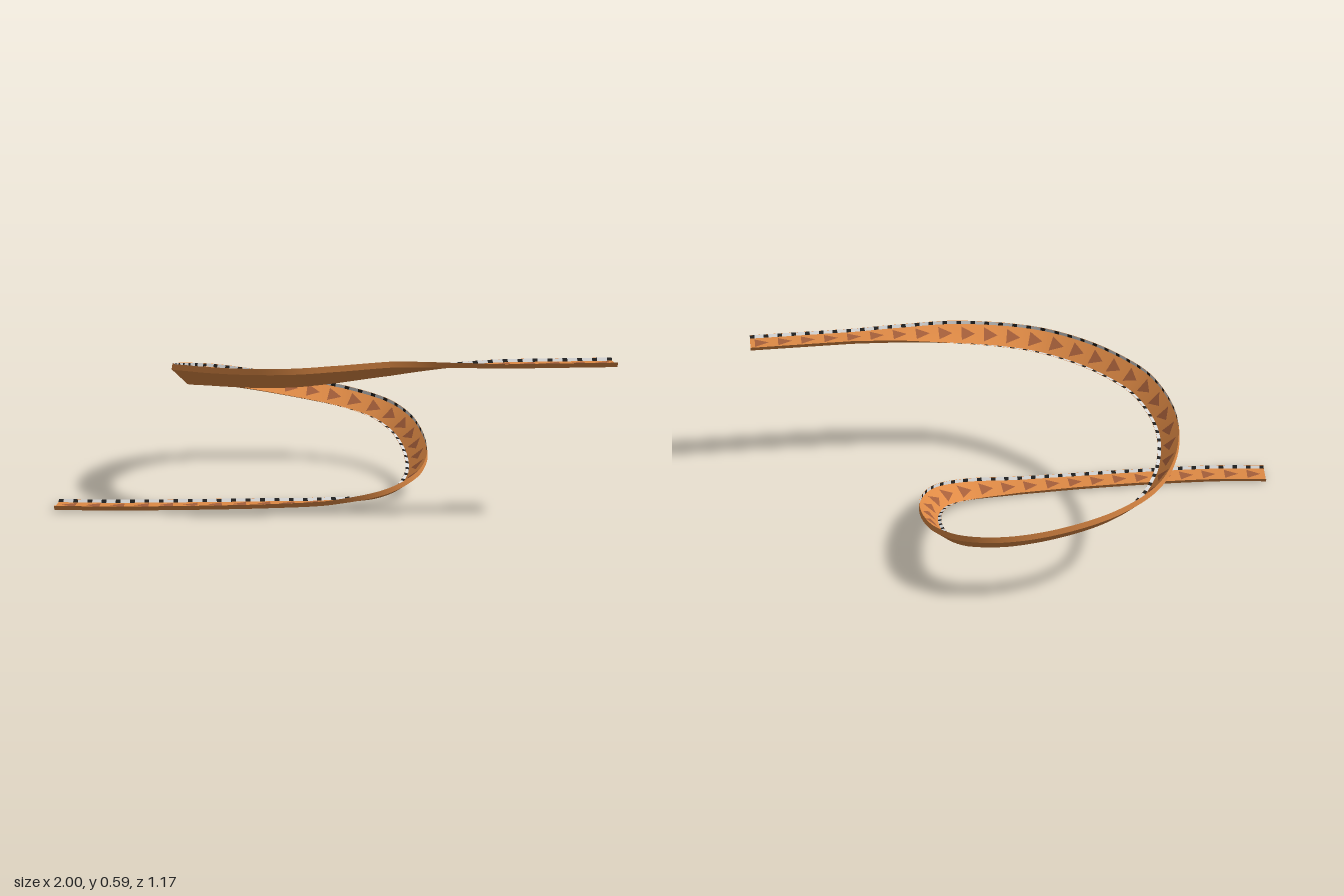
import * as THREE from 'three';
import { mergeGeometries } from 'three/addons/utils/BufferGeometryUtils.js';

const SEGMENTS = 280;
// Half widths of the inside floor, underside and rim; heights above the path
const FLOOR = 0.044, BASE = 0.041, RIM = 0.052;
const FLOOR_Y = 0.005, BASE_Y = -0.003, RIM_Y = 0.015;

// Path: x, y, z, bank angle in degrees
const PATH = [
  [-0.99, 0.008, 0.195, 0], [-0.8, 0.008, 0.222, 0], [-0.5, 0.008, 0.238, 0],
  [-0.25, 0.008, 0.242, 1], [0, 0.01, 0.238, 6], [0.2, 0.026, 0.212, 22],
  [0.31, 0.054, 0.14, 34], [0.365, 0.084, 0.03, 38], [0.383, 0.112, -0.08, 40],
  [0.378, 0.148, -0.22, 41], [0.35, 0.182, -0.34, 42], [0.28, 0.217, -0.45, 42],
  [0.14, 0.252, -0.53, 42], [-0.05, 0.29, -0.557, 42], [-0.24, 0.33, -0.533, 43],
  [-0.385, 0.365, -0.455, 44], [-0.475, 0.395, -0.32, 44], [-0.523, 0.427, -0.14, 44],
  [-0.52, 0.449, 0, 44], [-0.475, 0.474, 0.16, 44], [-0.4, 0.488, 0.275, 43],
  [-0.29, 0.502, 0.39, 43], [-0.14, 0.518, 0.485, 42], [0, 0.534, 0.52, 39],
  [0.2, 0.555, 0.532, 31], [0.4, 0.565, 0.53, 11], [0.6, 0.567, 0.53, 0], [1, 0.567, 0.53, 0],
];

// Banked frames at even distances along the path
function makeFrames() {
  const curve = new THREE.CatmullRomCurve3(PATH.map(p => new THREE.Vector3(p[0], p[1], p[2])));
  curve.arcLengthDivisions = 1000;
  const up = new THREE.Vector3(0, 1, 0);
  return Array.from({ length: SEGMENTS + 1 }, (_, i) => {
    const t = curve.getUtoTmapping(i / SEGMENTS);
    const s = t * (PATH.length - 1), k = Math.min(Math.floor(s), PATH.length - 2);
    const bank = THREE.MathUtils.degToRad(THREE.MathUtils.lerp(PATH[k][3], PATH[k + 1][3], s - k));
    const tangent = curve.getTangent(t);
    const side = new THREE.Vector3().crossVectors(tangent, up).normalize().applyAxisAngle(tangent, -bank);
    const normal = new THREE.Vector3().crossVectors(side, tangent).normalize();
    return { origin: curve.getPoint(t), side, normal };
  });
}

// Point at a sideways and upward offset within a frame
function place(f, [l, n]) {
  return f.origin.clone().addScaledVector(f.side, l).addScaledVector(f.normal, n);
}

function geometry(points, index) {
  const g = new THREE.BufferGeometry().setFromPoints(points);
  g.setIndex(index);
  g.computeVertexNormals();
  return g;
}

// Band swept between two cross-section points
function strip(frames, a, b, use = () => true) {
  const points = frames.flatMap(f => [place(f, a), place(f, b)]);
  const index = [];
  for (let i = 0; i < frames.length - 1; i++) {
    const k = i * 2;
    if (use(i)) index.push(k, k + 1, k + 3, k, k + 3, k + 2);
  }
  return geometry(points, index);
}

export function createModel() {
  const group = new THREE.Group();
  const material = (name, color) => {
    const m = new THREE.MeshStandardMaterial({ color });
    m.name = name;
    return m;
  };
  const orange = material('orange', 0xdf8a45);
  const brown = material('brown', 0xa65f3a);
  const white = material('paleGrey', 0xdcdcdc);
  const black = material('black', 0x202020);
  const add = (name, parts, mat) => {
    const mesh = new THREE.Mesh(mergeGeometries(parts), mat);
    mesh.name = name;
    group.add(mesh);
  };
  const frames = makeFrames();

  // Cross-sections: channel inside and underside shell
  const inside = [[-RIM, RIM_Y], [-FLOOR, FLOOR_Y], [FLOOR, FLOOR_Y], [RIM, RIM_Y]];
  const outside = [[-RIM - 0.001, RIM_Y], [-BASE, BASE_Y], [BASE, BASE_Y], [RIM + 0.001, RIM_Y]];
  const [ol, fl, fr, or] = inside;

  add('trackFloor', [strip(frames, fl, fr)], orange);
  const shell = [0, 1, 2].map(i => strip(frames, outside[i + 1], outside[i]));
  shell.push(strip(frames, outside[0], ol), strip(frames, or, outside[3]));

  // End caps close the shell
  for (const [f, first] of [[frames[0], true], [frames[SEGMENTS], false]]) {
    for (let i = 0; i < 3; i++) {
      const q = [outside[i], outside[i + 1], inside[i + 1], inside[i]].map(p => place(f, p));
      shell.push(geometry(q, first ? [0, 1, 2, 0, 2, 3] : [0, 2, 1, 0, 3, 2]));
    }
  }
  add('trackShell', shell, orange);

  // Pale kerbs along both edges, broken by short dark blocks
  const dark = i => i % 3 === 0, pale = i => !dark(i);
  const kerbs = use => [strip(frames, ol, fl, use), strip(frames, fr, or, use)];
  add('paleKerbs', kerbs(pale), white);
  add('darkKerbs', kerbs(dark), black);

  // Direction arrows painted on the floor, pointing downhill
  const arrows = [];
  for (let i = 1; i < SEGMENTS - 3; i += 5) {
    const tip = place(frames[i], [0, FLOOR_Y + 0.0015]);
    const base = [0.031, -0.031].map(l => place(frames[i + 3], [l, FLOOR_Y + 0.0015]));
    arrows.push(geometry([tip, ...base], [0, 1, 2]));
  }
  add('directionArrows', arrows, brown);
  return group;
}
